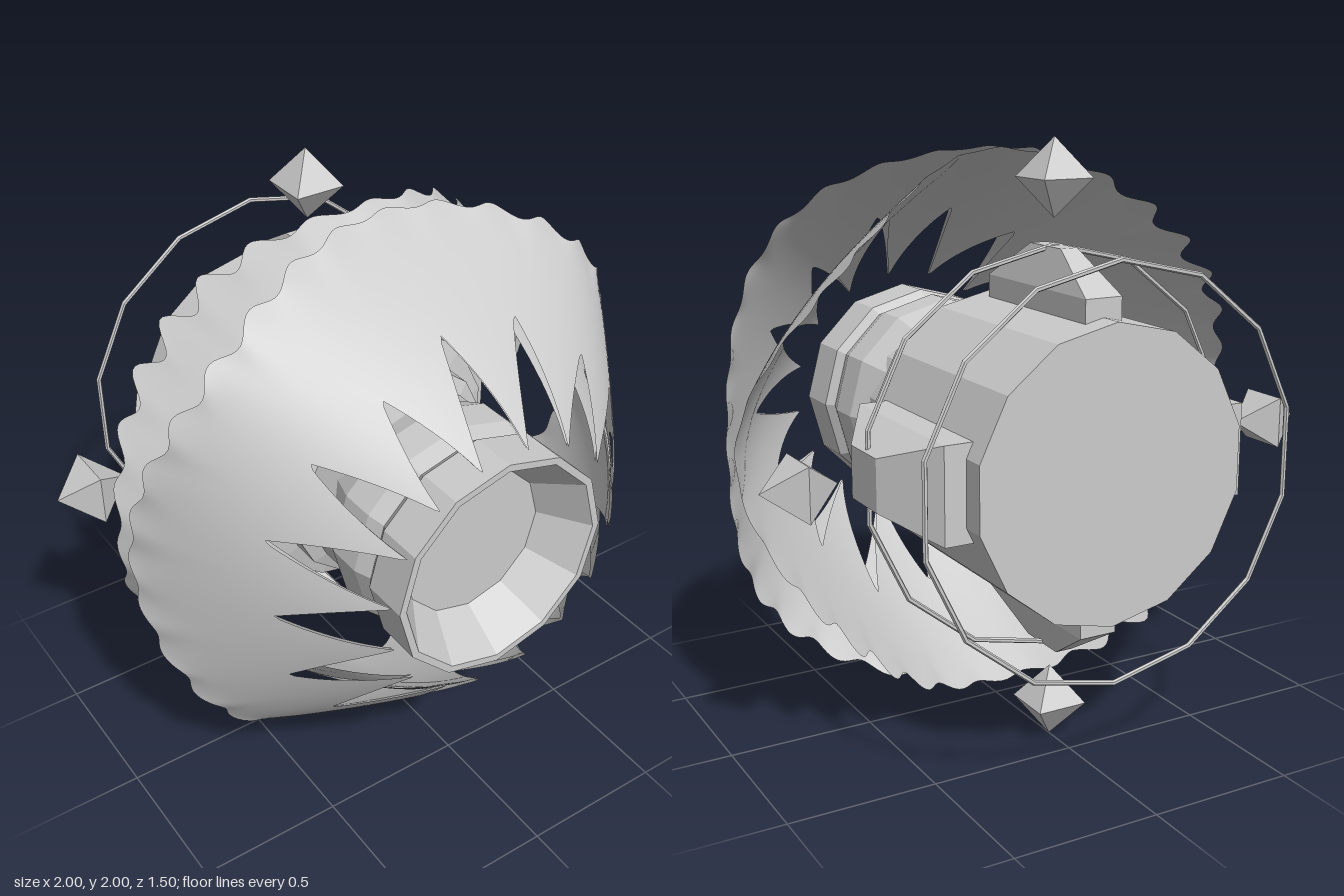
import * as THREE from 'three';
import { ConvexGeometry } from 'three/addons/geometries/ConvexGeometry.js';

const V = (x, y, z) => new THREE.Vector3(x, y, z);
const flat = new THREE.MeshStandardMaterial({ color: 0xcccccc, flatShading: true });
const cloth = new THREE.MeshStandardMaterial({ color: 0xcccccc, side: THREE.DoubleSide });

function add(parent, name, geometry, material = flat) {
  const mesh = new THREE.Mesh(geometry, material);
  mesh.name = name;
  parent.add(mesh);
  return mesh;
}

// Faceted solid of revolution about z; profile is [radius, z]
function turned(profile, sides) {
  const points = profile.map(([r, z]) => new THREE.Vector2(r, z));
  return new THREE.LatheGeometry(points, sides).rotateX(Math.PI / 2);
}

// Flared bowl with pointed teeth around the mouth and a scalloped back rim.
// The four corners of the rim flare out or curl in; gap sets it back from the other layer.
function skirt(gap, rimGap, cornerReach, cornerLift) {
  const around = 384, along = 18, teeth = 16, scallops = 32, firstNotch = 0.07;
  const position = [], index = [];
  for (let i = 0; i <= around; i++) {
    const a = (i / around) * Math.PI * 2;
    const corner = (1 - Math.cos(4 * a)) / 2;
    const phase = ((a - firstNotch) * teeth) / (Math.PI * 2);
    const zigzag = Math.abs(2 * (phase - Math.floor(phase)) - 1);
    const inner = 0.43 + (0.28 + 0.025 * Math.sin(5 * a + 1)) * zigzag;
    const outer = 0.945 + cornerReach * corner + (0.004 + 0.01 * corner) * Math.cos(scallops * a);
    for (let j = 0; j <= along; j++) {
      const r = inner + ((outer - inner) * j) / along;
      const t = Math.max(0, (r - 0.42) / 0.55), d = r - 0.45;
      const z = 0.73 - 0.9 * d - 0.92 * d * d - gap - rimGap * t ** 3 + cornerLift * corner * t * t
        + 0.01 * Math.sin(scallops * a) * Math.pow(j / along, 12);
      position.push(r * Math.cos(a), r * Math.sin(a), z);
      if (i < around && j < along) {
        const p = i * (along + 1) + j, q = p + along + 1;
        index.push(p, p + 1, q, q, p + 1, q + 1);
      }
    }
  }
  const g = new THREE.BufferGeometry();
  g.setAttribute('position', new THREE.Float32BufferAttribute(position, 3));
  g.setIndex(index);
  g.computeVertexNormals();
  return g;
}

// Fin standing on +y, tapering to a narrow crown
function fin(halfWidth, crownHalf) {
  const points = [];
  for (const s of [-1, 1]) {
    for (const z of [-0.66, -0.07]) points.push(V(s * halfWidth, 0.4, z), V(s * halfWidth, 0.54, z));
    for (const z of [-0.46, -0.28]) points.push(V(s * crownHalf, 0.665, z));
  }
  return new ConvexGeometry(points);
}

export function createModel() {
  const model = new THREE.Group();
  model.name = 'flaredThruster';
  const core = new THREE.Group();
  core.name = 'core';
  core.position.y = 1;
  model.add(core);

  // Barrel and stepped neck
  add(core, 'barrel', turned([[0, -0.74], [0.48, -0.74], [0.48, 0], [0.4, 0.02], [0.4, 0.12],
    [0.35, 0.14], [0.35, 0.3]], 14));

  // Nozzle with a recessed, bevelled mouth
  add(core, 'nozzle', turned([[0.33, 0.22], [0.39, 0.36], [0.39, 0.48], [0.37, 0.54], [0.395, 0.57],
    [0.395, 0.73], [0.37, 0.73], [0.265, 0.57], [0, 0.57]], 12));

  // Two layered skirts
  add(core, 'outerSkirt', skirt(0, 0, 0.035, 0.21), cloth);
  add(core, 'innerSkirt', skirt(0.01, 0.075, -0.065, -0.44), cloth);

  // Thin hoops
  for (const [name, z] of [['rearHoop', -0.75], ['middleHoop', -0.37]]) {
    add(core, name, new THREE.TorusGeometry(0.665, 0.009, 6, 14).rotateZ(Math.PI / 2)).position.z = z;
  }

  // Four fins and four floating spikes
  ['top', 'left', 'bottom', 'right'].forEach((side, i) => {
    const arm = new THREE.Group();
    arm.name = side + 'Arm';
    arm.rotation.z = (-i * Math.PI) / 2;
    core.add(arm);
    add(arm, side + 'Fin', i % 2 ? fin(0.155, 0.085) : fin(0.065, 0.03));
    const spike = new THREE.OctahedronGeometry(0.125).rotateY(Math.PI / 4);
    add(arm, side + 'Spike', spike).position.set(0, 0.875, -0.37);
  });
  return model;
}
